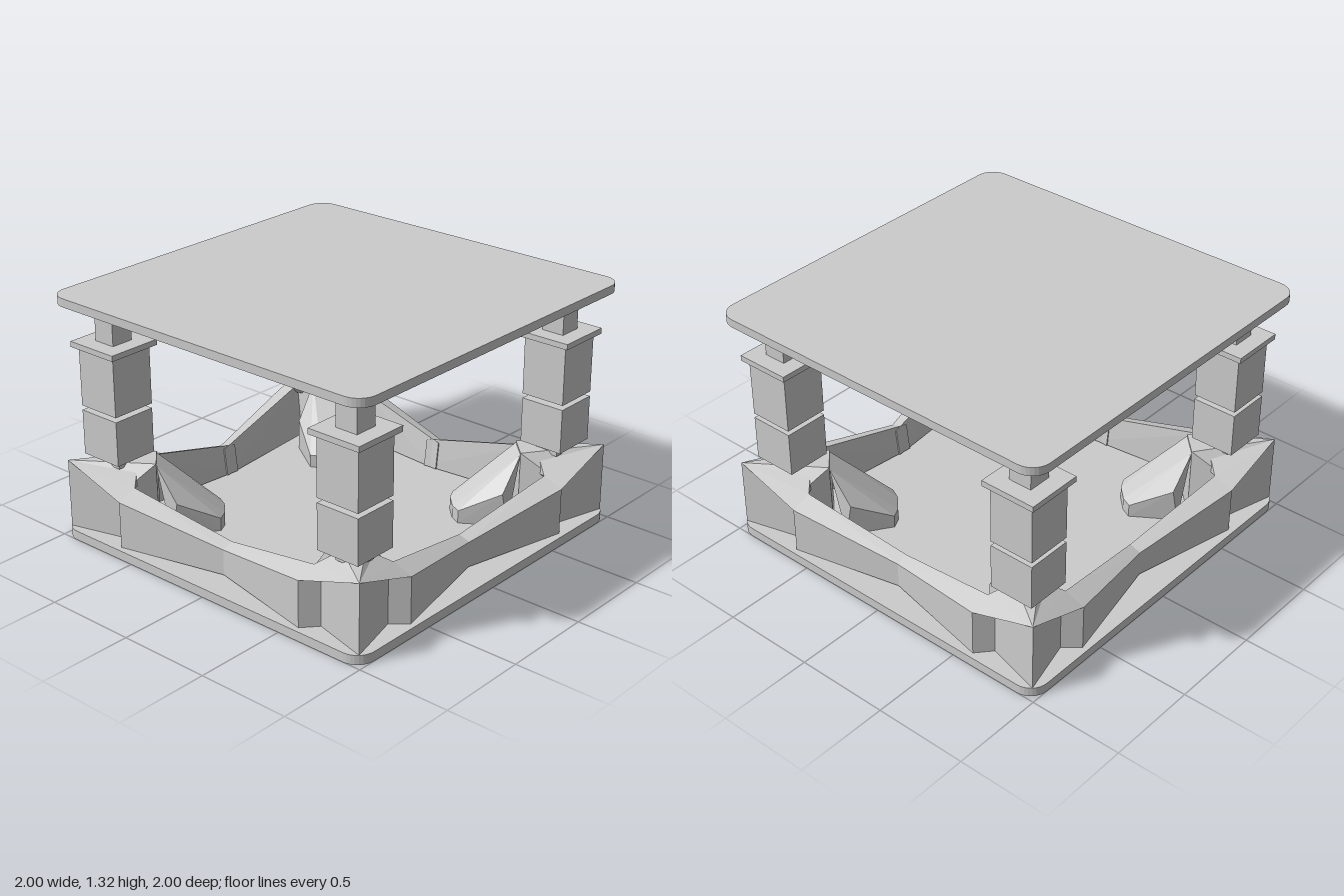
import * as THREE from 'three';
import { ConvexGeometry } from 'three/addons/geometries/ConvexGeometry.js';

const material = new THREE.MeshStandardMaterial({ color: 0xcccccc, flatShading: true });

function mesh(name, geometry) {
  const m = new THREE.Mesh(geometry, material);
  m.name = name;
  return m;
}

// Faceted solid from corner points; swap mirrors it across the corner diagonal
function hull(name, points, swap = false) {
  return mesh(name, new ConvexGeometry(points.map(([x, y, z]) =>
    swap ? new THREE.Vector3(z, y, x) : new THREE.Vector3(x, y, z))));
}

// Square plate with rounded corners
function plate(name, y, height) {
  const r = 0.1, c = 1 - r;
  const s = new THREE.Shape();
  [[c, c], [-c, c], [-c, -c], [c, -c]].forEach(([x, z], i) =>
    s.absarc(x, z, r, i * Math.PI / 2, (i + 1) * Math.PI / 2, false));
  const g = new THREE.ExtrudeGeometry(s, { depth: height, bevelEnabled: false, curveSegments: 4 });
  g.rotateX(-Math.PI / 2).translate(0, y, 0);
  return mesh(name, g);
}

// Square block of the pillar between two heights
function block(name, width, y0, y1) {
  const g = new THREE.BoxGeometry(width, y1 - y0, width);
  g.translate(0, (y0 + y1) / 2, 0);
  return mesh(name, g);
}

function createPillar() {
  const pillar = new THREE.Group();
  pillar.name = 'pillar';
  pillar.add(
    block('pillarRod', 0.125, 0.40, 1.25),
    block('lowerSleeve', 0.245, 0.455, 0.695),
    block('upperSleeve', 0.245, 0.72, 1.035),
    block('collar', 0.3, 1.035, 1.065)
  );
  // Flared head under the top plate
  const head = new THREE.CylinderGeometry(0.07 * Math.SQRT2, 0.0625 * Math.SQRT2, 0.025, 4);
  head.rotateY(Math.PI / 4).translate(0, 1.26, 0);
  pillar.add(mesh('pillarHead', head));
  pillar.position.set(0.785, 0, 0.785);
  return pillar;
}

function createCorner() {
  const corner = new THREE.Group();
  corner.name = 'corner';
  const b = 0.05;

  // Footing that carries the pillar
  corner.add(hull('footing', [
    [0.97, b, 0.97], [0.67, b, 0.89], [0.89, b, 0.67], [0.58, b, 0.72], [0.72, b, 0.58],
    [0.97, 0.42, 0.97], [0.67, 0.3, 0.89], [0.89, 0.3, 0.67],
    [0.6, 0.42, 0.71], [0.71, 0.42, 0.6]
  ]));

  // Spur pointing to the centre
  corner.add(hull('spur', [
    [0.6, 0.41, 0.71], [0.71, 0.41, 0.6], [0.47, 0.23, 0.7], [0.7, 0.23, 0.47],
    [0.35, 0.12, 0.51], [0.51, 0.12, 0.35],
    [0.35, b, 0.51], [0.51, b, 0.35], [0.38, b, 0.45], [0.45, b, 0.38],
    [0.38, 0.12, 0.45], [0.45, 0.12, 0.38],
    [0.49, b, 0.72], [0.72, b, 0.49]
  ]));

  for (const swap of [false, true]) {
    // Side wall tapering towards the middle of the edge
    corner.add(hull('sideWall', [
      [0.6, b, 0.97], [0.67, b, 0.89], [0.65, b, 0.84], [-0.04, 0.06, 0.84], [-0.04, 0.06, 0.76],
      [0.6, 0.3, 0.97], [0.67, 0.3, 0.89], [0.6, 0.34, 0.86],
      [-0.04, 0.19, 0.84], [-0.04, 0.21, 0.78]
    ], swap));
    // Sloping roof joining wall and footing
    corner.add(hull('wallRoof', [
      [0.97, 0.42, 0.97], [0.6, 0.3, 0.97], [0.67, 0.3, 0.89],
      [0.6, 0.34, 0.86], [0.71, 0.42, 0.73], [0.68, 0.3, 0.75]
    ], swap));
  }

  corner.add(createPillar());
  return corner;
}

export function createModel() {
  const model = new THREE.Group();
  model.name = 'platform';
  model.add(plate('basePlate', 0, 0.05), plate('topPlate', 1.27, 0.045));
  // Four identical corners
  for (let i = 0; i < 4; i++) {
    const corner = createCorner();
    corner.rotation.y = i * Math.PI / 2;
    model.add(corner);
  }
  return model;
}
